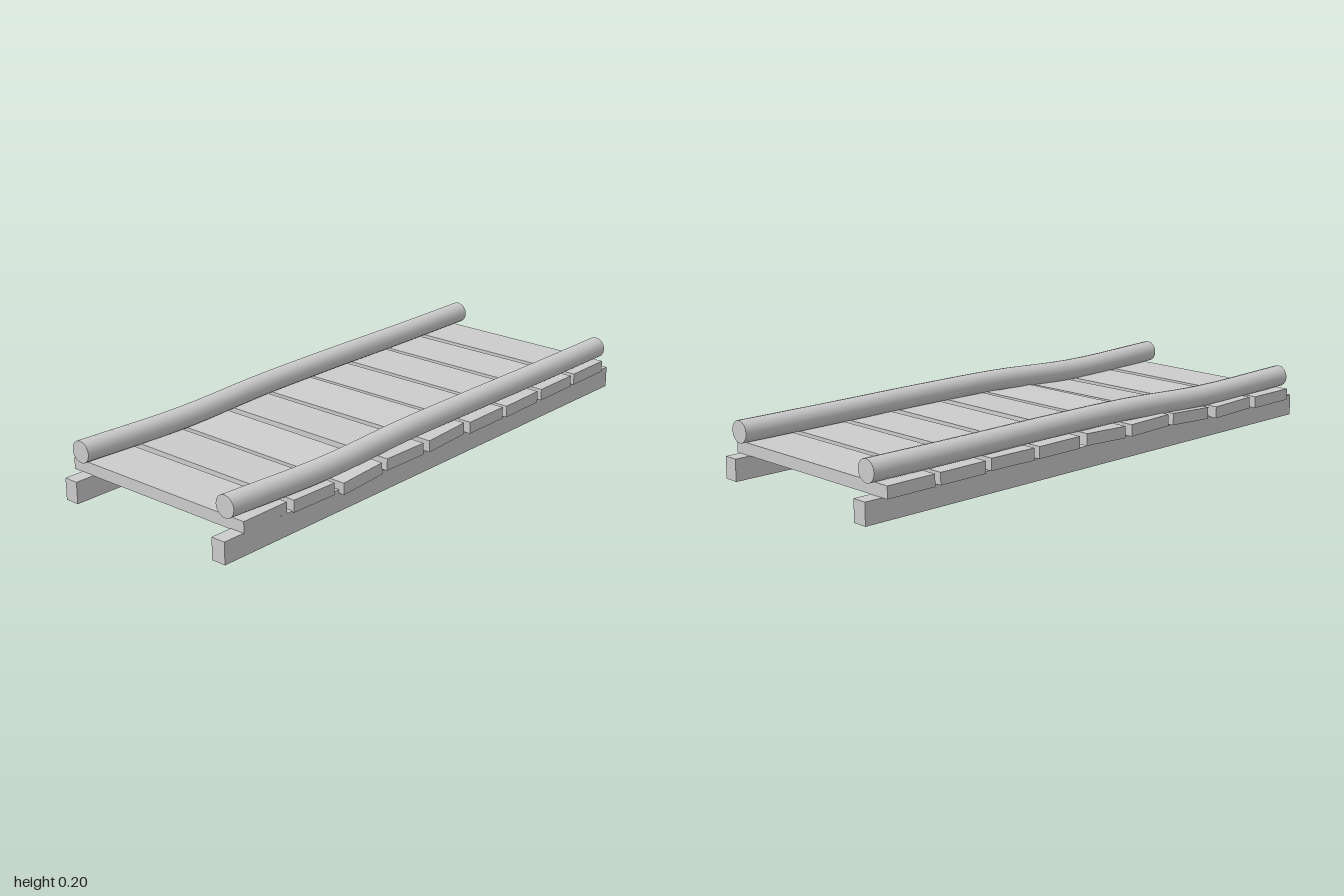
import * as THREE from 'three';

const material = new THREE.MeshStandardMaterial({ color: 0xcccccc });

function addMesh(parent, geometry, name) {
  const mesh = new THREE.Mesh(geometry, material);
  mesh.name = name;
  parent.add(mesh);
  return mesh;
}

// Log rail: a cylinder along z whose rings follow a gently wavy centre line
function railGeometry(points) {
  const curve = new THREE.CatmullRomCurve3(points.map((p) => new THREE.Vector3(...p)));
  const geometry = new THREE.CylinderGeometry(0.038, 0.038, 1, 16, 24);
  geometry.rotateX(Math.PI / 2);
  const pos = geometry.attributes.position;
  const centre = new THREE.Vector3();
  for (let i = 0; i < pos.count; i++) {
    curve.getPoint(THREE.MathUtils.clamp(pos.getZ(i) + 0.5, 0, 1), centre);
    pos.setXYZ(i, pos.getX(i) + centre.x, pos.getY(i) + centre.y, centre.z);
  }
  return geometry;
}

export function createModel() {
  const model = new THREE.Group();
  model.name = 'plankBridge';

  // Square bearer beams on the ground
  for (const [name, x] of [['rightBeam', -0.324], ['leftBeam', 0.334]]) {
    addMesh(model, new THREE.BoxGeometry(0.053, 0.075, 2), name).position.set(x, 0.0375, 0);
  }

  // Loose deck planks, back to front: x centre, y centre, pitch, roll
  const planks = [
    [0, 0.096, 0, 0],
    [0.005, 0.096, 0, 0.002],
    [0.008, 0.097, 0.01, -0.003],
    [0.012, 0.098, 0, 0.003],
    [0.007, 0.099, 0.04, 0],
    [0.003, 0.097, -0.02, -0.005],
    [0.005, 0.091, 0.05, -0.011],
    [-0.01, 0.091, -0.025, -0.006],
    [-0.014, 0.093, 0, -0.002],
  ];
  const deck = new THREE.Group();
  deck.name = 'deck';
  model.add(deck);
  planks.forEach(([x, y, pitch, roll], i) => {
    const plank = addMesh(deck, new THREE.BoxGeometry(0.75, 0.041, 0.186), `plank${i + 1}`);
    plank.position.set(x, y, -0.848 + i * 0.21);
    plank.rotation.set(pitch, 0.012, roll);
  });

  // Wavy log rails on top of the deck edges, back to front
  addMesh(model, railGeometry([
    [-0.317, 0.156, -0.967], [-0.317, 0.156, -0.6], [-0.318, 0.159, -0.2], [-0.32, 0.157, 0.15],
    [-0.325, 0.143, 0.52], [-0.332, 0.152, 0.948],
  ]), 'rightRail');
  addMesh(model, railGeometry([
    [0.328, 0.155, -0.967], [0.328, 0.155, -0.6], [0.326, 0.157, -0.2], [0.322, 0.155, 0.15],
    [0.314, 0.14, 0.52], [0.307, 0.152, 0.942],
  ]), 'leftRail');

  return model;
}
